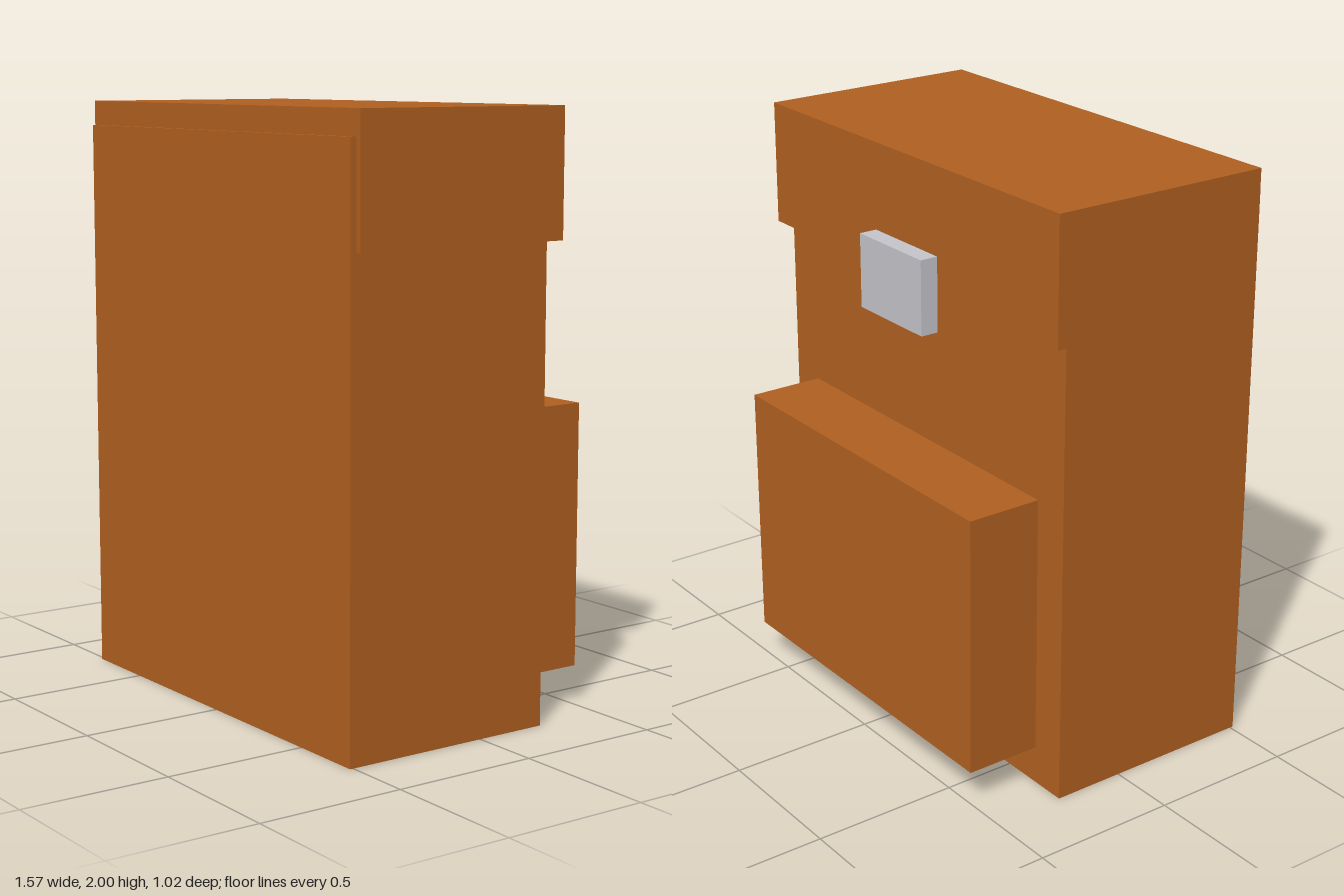
import * as THREE from 'three';

const leather = new THREE.MeshStandardMaterial({ color: 0xb06020 });
leather.name = 'brown leather';
const metal = new THREE.MeshStandardMaterial({ color: 0xc4c4ca });
metal.name = 'silver metal';

// Box given by its extents along each axis
function block(name, material, [x0, x1], [y0, y1], [z0, z1]) {
  const mesh = new THREE.Mesh(new THREE.BoxGeometry(x1 - x0, y1 - y0, z1 - z0), material);
  mesh.position.set((x0 + x1) / 2, (y0 + y1) / 2, (z0 + z1) / 2);
  mesh.name = name;
  return mesh;
}

export function createModel() {
  const bag = new THREE.Group();
  bag.name = 'backpack';
  bag.add(
    // Main compartment
    block('body', leather, [-0.766, 0.763], [0, 1.917], [-0.25, 0.512]),
    // Lid overhanging the sides and the pocket side
    block('lid', leather, [-0.787, 0.784], [1.578, 2], [-0.299, 0.491]),
    // Outer pocket
    block('pocket', leather, [-0.638, 0.635], [0.13, 1.023], [-0.512, -0.25]),
    // Clasp hanging from the lid
    block('clasp', metal, [-0.173, 0.17], [1.451, 1.705], [-0.362, -0.299]),
  );
  return bag;
}
